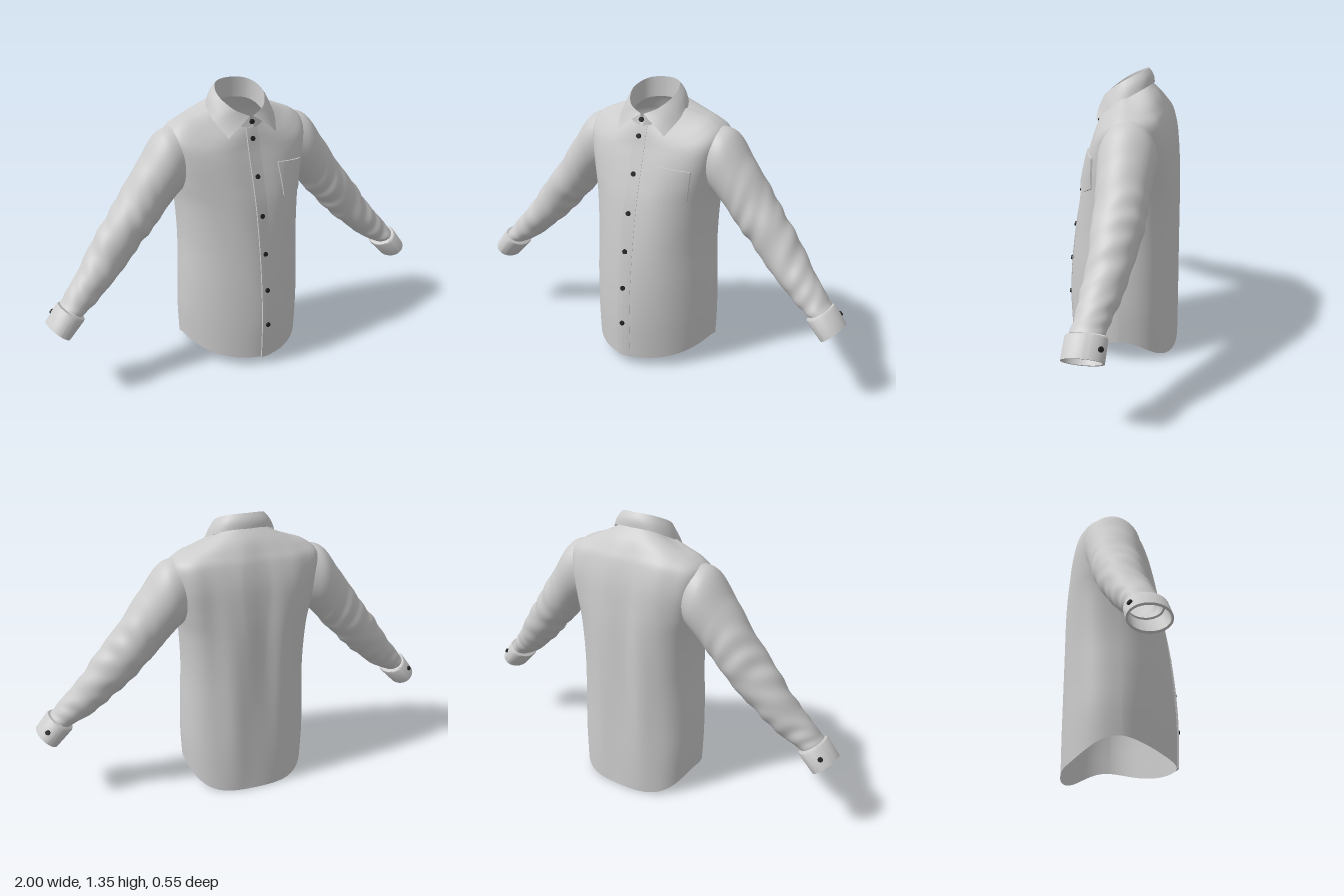
import * as THREE from 'three';
import { toCreasedNormals } from 'three/addons/utils/BufferGeometryUtils.js';

const cloth = new THREE.MeshStandardMaterial({ color: 0xcccccc, side: THREE.DoubleSide });
const dark = new THREE.MeshStandardMaterial({ color: 0x222222 });
const { lerp, clamp, smoothstep } = THREE.MathUtils;
const TAU = Math.PI * 2;

// Smooth interpolation through the rows of a table, t in 0..1
function sample(rows, t) {
  const f = clamp(t, 0, 1) * (rows.length - 1);
  const i = Math.min(Math.floor(f), rows.length - 2), w = f - i;
  const row = k => rows[clamp(k, 0, rows.length - 1)];
  return rows[0].map((_, c) => {
    const [a, b, d, e] = [row(i - 1)[c], row(i)[c], row(i + 1)[c], row(i + 2)[c]];
    return b + 0.5 * w * (d - a + w * (2 * a - 5 * b + 4 * d - e + w * (3 * (b - d) + e - a)));
  });
}

// Surface from a rule point(u, v); closed joins the last column to the first
function surface(point, nu, nv, closed) {
  const pos = [], index = [], cols = closed ? nu : nu + 1;
  for (let j = 0; j <= nv; j++)
    for (let i = 0; i < cols; i++) pos.push(...point(i / nu, j / nv, i, j));
  for (let j = 0; j < nv; j++)
    for (let i = 0; i < nu; i++) {
      const a = j * cols + i, b = j * cols + (i + 1) % cols;
      index.push(a, a + cols, b, b, a + cols, b + cols);
    }
  const g = new THREE.BufferGeometry();
  g.setAttribute('position', new THREE.Float32BufferAttribute(pos, 3));
  g.setIndex(index);
  g.computeVertexNormals();
  return g;
}

function part(name, geometry, material = cloth) {
  const m = new THREE.Mesh(geometry, material);
  m.name = name;
  return m;
}

// Body rings: sideX, sideY, frontY, frontZ, backY, backZ, centreZ, front and back roundness
const BODY = [
  [0.304, 0.10, 0.042, 0.265, 0.00, -0.264, -0.02, 1.7, 2.5],
  [0.310, 0.25, 0.22, 0.270, 0.20, -0.264, -0.02, 1.7, 2.5],
  [0.305, 0.42, 0.40, 0.260, 0.40, -0.262, -0.02, 1.8, 2.5],
  [0.296, 0.61, 0.60, 0.237, 0.60, -0.260, -0.03, 2.0, 2.6],
  [0.303, 0.80, 0.80, 0.203, 0.80, -0.257, -0.04, 2.3, 2.8],
  [0.322, 0.92, 0.91, 0.175, 0.93, -0.250, -0.05, 2.6, 3.1],
  [0.342, 1.04, 1.00, 0.149, 1.05, -0.238, -0.06, 2.8, 3.3],
  [0.350, 1.135, 1.06, 0.131, 1.14, -0.217, -0.06, 2.6, 3.0],
  [0.300, 1.185, 1.10, 0.121, 1.19, -0.195, -0.05, 2.3, 2.6],
  [0.220, 1.214, 1.135, 0.112, 1.24, -0.166, -0.04, 2.1, 2.3],
  [0.135, 1.240, 1.17, 0.100, 1.283, -0.127, -0.02, 2.0, 2.2],
];

function bodyPoint(angle, v) {
  const [sx, sy, fy, fz, by, bz, cz, nf, nb] = sample(BODY, v);
  const c = Math.cos(angle), s = Math.sin(angle), front = s > 0;
  const e = 2 / (front ? nf : nb);
  const x = Math.sign(c) * Math.abs(c) ** e * sx;
  const y = lerp(sy, front ? fy : by, smoothstep(Math.abs(s), 0, 1));
  let z = cz + Math.abs(s) ** e * ((front ? fz : bz) - cz);
  // Soft hanging folds, strongest on the back
  const fade = s * s * Math.sin(Math.PI * clamp(v * 1.05, 0, 1)) ** 0.7;
  z += front ? 0.003 * fade * Math.sin(x * 24 + y * 5)
    : fade * (0.006 * Math.cos(x * 27 + y * 1.2) + 0.002 * Math.sin(x * 50 - y * 3));
  return [x, y, z];
}

// Point on the front of the body at a given x and y, raised by off
function onFront(x, y, off) {
  let lo = 0, hi = 1, p;
  for (let k = 0; k < 24; k++) {
    const v = (lo + hi) / 2, row = sample(BODY, v);
    const c = Math.min(Math.abs(x) / row[0], 1) ** (row[7] / 2) * Math.sign(x);
    p = bodyPoint(Math.acos(c), v);
    if (p[1] < y) lo = v; else hi = v;
  }
  return [p[0], p[1], p[2] + off];
}

// Raised cloth panel with its border turned down to the body;
// the height runs from offLeft to offRight
function panel(outline, offLeft, offRight, nu, nv) {
  return toCreasedNormals(surface((u, v, i, j) => {
    const rim = i === 0 || j === 0 || i === nu || j === nv;
    const s = clamp((i - 1) / (nu - 2), 0, 1), t = clamp((j - 1) / (nv - 2), 0, 1);
    return onFront(...outline(s, t), rim ? 0.0005 : lerp(offLeft, offRight, s));
  }, nu, nv, false), 0.7);
}

// Sleeve rings: topX, topY, bottomX, bottomY, centreZ, half depth
const SLEEVE = [
  [0.27, 1.17, 0.25, 0.89, -0.062, 0.105],
  [0.385, 1.145, 0.32, 0.85, -0.064, 0.130],
  [0.48, 1.025, 0.385, 0.785, -0.060, 0.122],
  [0.58, 0.89, 0.455, 0.705, -0.056, 0.114],
  [0.68, 0.76, 0.545, 0.615, -0.046, 0.104],
  [0.785, 0.62, 0.65, 0.515, -0.026, 0.090],
  [0.868, 0.515, 0.75, 0.435, -0.002, 0.078],
  [0.925, 0.445, 0.84, 0.385, 0.016, 0.072],
];

// Cuff rings in the same form: hidden seam, outside, rim, inside
const CUFF = [
  [0.920, 0.437, 0.845, 0.385, 0.016, 0.066],
  [0.935, 0.447, 0.830, 0.370, 0.018, 0.082],
  [0.944, 0.442, 0.833, 0.362, 0.018, 0.087],
  [0.998, 0.370, 0.905, 0.290, 0.022, 0.088],
  [0.990, 0.364, 0.913, 0.297, 0.022, 0.079],
  [0.932, 0.440, 0.840, 0.379, 0.018, 0.072],
];

function ringPoint([tx, ty, bx, by, cz, rz], a, k = 1) {
  const c = 0.5 * Math.cos(a) * k;
  return [(tx + bx) / 2 + (tx - bx) * c, (ty + by) / 2 + (ty - by) * c, cz - rz * k * Math.sin(a)];
}

// Sleeve with creases that gather around the elbow and above the cuff
function sleevePoint(u, v) {
  const a = u * TAU;
  const env = smoothstep(v, 0.2, 0.5) * (1 - 0.5 * smoothstep(v, 0.93, 1));
  const patch = 0.5 + 0.5 * Math.sin(2 * a + v * 13);
  const k = 1 + env * (0.035 * patch * Math.sin(v * 62 + 2.5 * Math.sin(a + 0.6))
    + 0.022 * Math.sin(v * 23 - 2 * a) + 0.02 * (1 - patch) * Math.sin(v * 45 + 3 * a));
  return ringPoint(sample(SLEEVE, v), a, k);
}

function button(x, y, z, normal) {
  const m = part('button', new THREE.CylinderGeometry(0.011, 0.012, 0.009, 16), dark);
  m.position.set(x, y, z);
  m.quaternion.setFromUnitVectors(new THREE.Vector3(0, 1, 0), normal.normalize());
  return m;
}

function createSleeve(name, side) {
  const g = new THREE.Group();
  g.name = name;
  g.add(part('sleeve', surface(sleevePoint, 44, 120, true)));
  const cuff = surface((u, v, i, j) => ringPoint(CUFF[j], u * TAU), 40, CUFF.length - 1, true);
  g.add(part('cuff', toCreasedNormals(cuff, 1.0)));
  const middle = CUFF[2].map((n, i) => (n + CUFF[3][i]) / 2);
  const p = ringPoint(middle, 0.92, 1.03);
  g.add(button(...p, new THREE.Vector3(0.5, 0.4, -0.75)));
  g.scale.x = side;
  return g;
}

// Collar lines from the front opening to the middle of the back, then mirrored
const STAND = [[0.008, 1.155, 0.111], [0.075, 1.175, 0.078], [0.113, 1.21, 0], [0.088, 1.245, -0.082], [0, 1.255, -0.114]];
const FOLD = [[0.008, 1.210, 0.103], [0.080, 1.245, 0.076], [0.119, 1.300, 0], [0.086, 1.340, -0.082], [0, 1.350, -0.112]];
const FALL = [[0.125, 1.122, 0.116], [0.161, 1.195, 0.035], [0.155, 1.243, -0.05], [0.100, 1.278, -0.115], [0, 1.287, -0.137]];

function createCollar() {
  const lines = [STAND, FOLD, FALL].map(half =>
    [...half, ...half.slice(0, -1).reverse().map(([x, y, z]) => [-x, y, z])]);
  const g = surface((u, v, i, j) => {
    const [stand, fold, fall] = lines.map(l => sample(l, u));
    if (j <= 4) return stand.map((n, k) => lerp(n, fold[k], j / 4));
    const t = (j - 4) / 6, puff = 0.007 * Math.sin(Math.PI * t);
    const p = fold.map((n, k) => lerp(n, fall[k], t));
    const r = Math.hypot(p[0], p[2] + 0.01);
    return [p[0] + puff * p[0] / r, p[1] + puff * 0.4, p[2] + puff * (p[2] + 0.01) / r];
  }, 64, 10, false);
  return part('collar', toCreasedNormals(g, 1.0));
}

export function createModel() {
  const shirt = new THREE.Group();
  shirt.name = 'shirt';
  shirt.add(part('body', surface((u, v) => bodyPoint(u * TAU, v), 128, 70, true)));
  shirt.add(createSleeve('leftSleeve', 1), createSleeve('rightSleeve', -1));
  shirt.add(createCollar());

  // Button band, overlapping towards the right
  shirt.add(part('placket', panel((s, t) =>
    [lerp(-0.032, 0.03, s), lerp(1.16, 0.043, t)], 0.009, 0.002, 8, 60)));

  // Chest pocket with a pointed lower edge
  shirt.add(part('pocket', panel((s, t) => {
    const bottom = 0.802 + 0.03 * Math.abs(2 * s - 1) ** 1.5;
    return [lerp(0.112, 0.265, s) + t * lerp(0.016, -0.012, s), lerp(lerp(0.99, 0.975, s), bottom, t)];
  }, 0.009, 0.009, 18, 18)));

  // Front buttons
  for (const y of [0.22, 0.40, 0.58, 0.76, 0.94, 1.11])
    shirt.add(button(...onFront(-0.005, y, 0.008), new THREE.Vector3(0, y > 0.5 ? 0.2 : 0, 1)));
  shirt.add(button(0, 1.185, 0.110, new THREE.Vector3(0, 0.2, 1)));
  return shirt;
}
